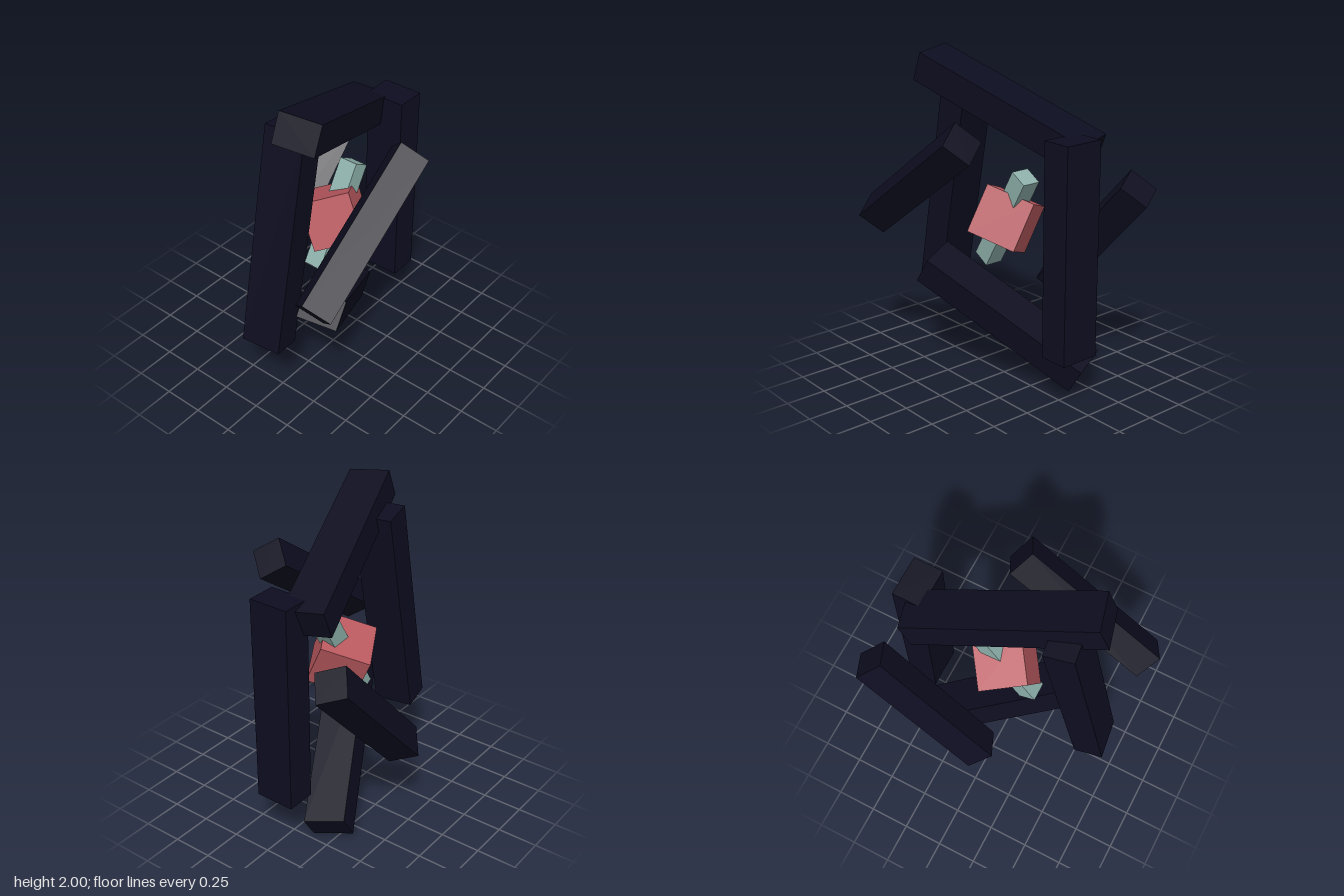
import * as THREE from 'three';

const navy = new THREE.MeshStandardMaterial({ color: 0x0d0d20 });
navy.name = 'darkNavy';
const red = new THREE.MeshStandardMaterial({ color: 0xb9595f });
red.name = 'dustyRed';
const teal = new THREE.MeshStandardMaterial({ color: 0x8dafaa });
teal.name = 'paleTeal';

// Box running between two end centres; depthDir sets the roll about its length
function bar(name, from, to, depthDir, width, depth, material) {
  const a = new THREE.Vector3(...from);
  const b = new THREE.Vector3(...to);
  const y = b.clone().sub(a);
  const length = y.length();
  y.normalize();
  const z = new THREE.Vector3(...depthDir);
  z.addScaledVector(y, -z.dot(y)).normalize();
  const x = new THREE.Vector3().crossVectors(y, z);
  const mesh = new THREE.Mesh(new THREE.BoxGeometry(width, length, depth), material);
  mesh.name = name;
  mesh.quaternion.setFromRotationMatrix(new THREE.Matrix4().makeBasis(x, y, z));
  mesh.position.copy(a).add(b).multiplyScalar(0.5);
  return mesh;
}

export function createModel() {
  const group = new THREE.Group();
  group.name = 'floatingFrame';

  // Four flat beams forming the crooked frame
  const frame = [
    ['leftPost', [0.578, 0.31, 0], [0.578, 1.6, 0], [0, 0, 1]],
    ['rightPost', [-0.605, 0.445, -0.003], [-0.335, 1.815, -0.003], [0.14, 0, 0.99]],
    ['topBeam', [-0.5, 1.905, 0.16], [0.547, 1.485, -0.165], [0.05, -0.02, 0.24]],
    ['bottomBeam', [-0.408, 0.682, 0.238], [0.462, 0.102, -0.237], [0.09, -0.05, 0.225]],
  ];
  for (const [name, from, to, dir] of frame) group.add(bar(name, from, to, dir, 0.184, 0.25, navy));

  // Two square beams, rolled onto their edges, in front and behind
  group.add(bar('frontDiagonal', [-0.71, 0.96, 0.43], [0.15, 1.565, 0.43],
    [-0.44, 0.626, 0.643], 0.186, 0.186, navy));
  group.add(bar('backDiagonal', [-0.02, 0.52, -0.43], [0.68, 1.265, -0.43],
    [-0.622, 0.584, 0.522], 0.186, 0.186, navy));

  // Tilted cube at the centre
  group.add(bar('coreCube', [0.008, 0.877, 0.067], [0.034, 1.147, -0.067],
    [-0.164, -0.1, -0.232], 0.305, 0.305, red));

  // Rod passing through the cube
  group.add(bar('coreRod', [-0.15, 0.725, 0], [0.192, 1.307, 0], [0, 0, 1], 0.118, 0.118, teal));

  return group;
}
